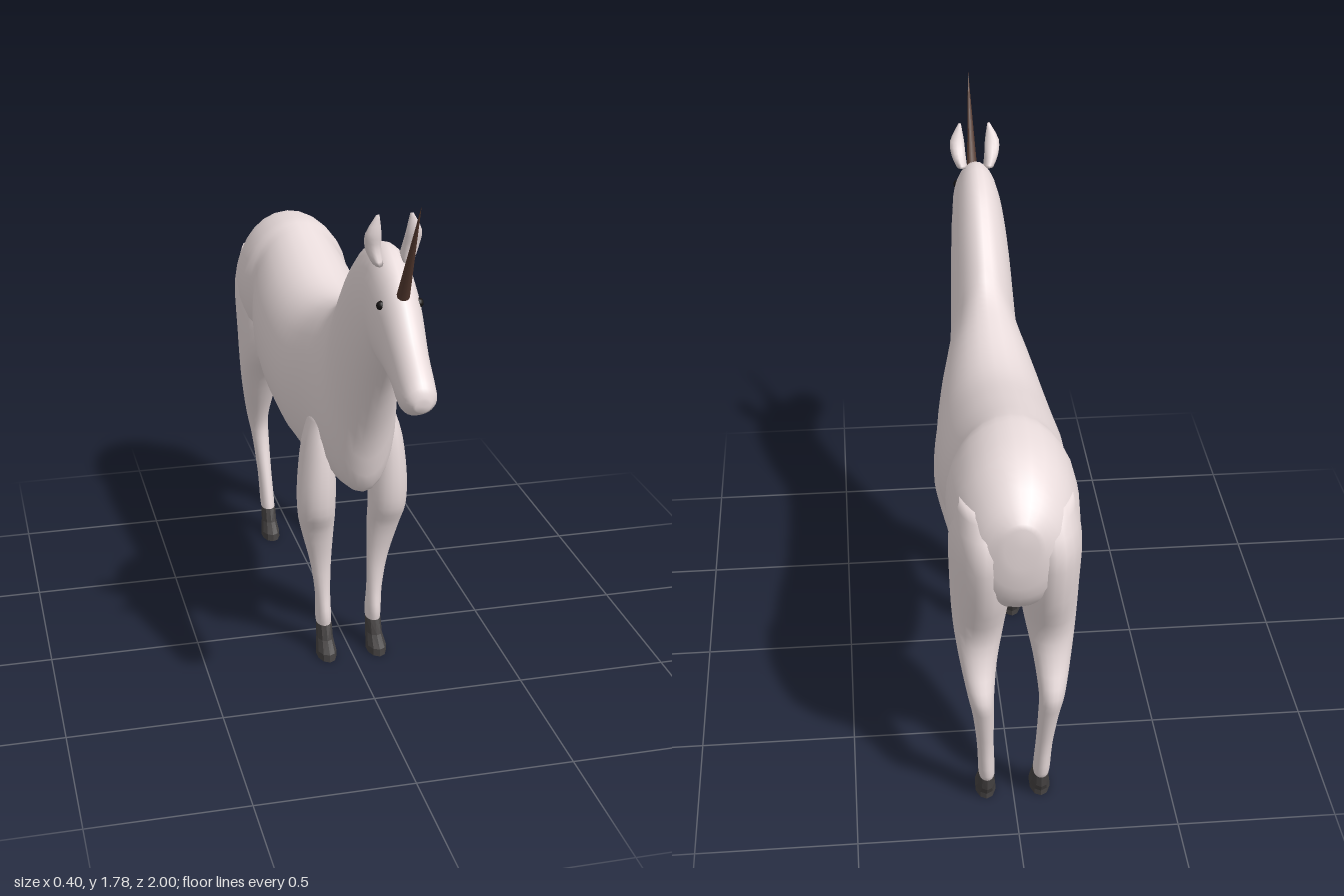
import * as THREE from 'three';

const coat = new THREE.MeshStandardMaterial({ color: 0xe9dcdc });
const hoofMat = new THREE.MeshStandardMaterial({ color: 0x454242, flatShading: true });
const hornMat = new THREE.MeshStandardMaterial({ color: 0x553a30 });
const eyeMat = new THREE.MeshStandardMaterial({ color: 0x151212 });

// Catmull-Rom blend of whole section rows
function refine(rows, steps) {
  const out = [];
  for (let i = 0; i < rows.length - 1; i++) {
    const a = rows[Math.max(i - 1, 0)], b = rows[i], c = rows[i + 1], d = rows[Math.min(i + 2, rows.length - 1)];
    for (let s = 0; s < steps; s++) {
      const t = s / steps;
      out.push(b.map((p, k) => {
        const linear = c[k] - a[k];
        const square = 2 * a[k] - 5 * p + 4 * c[k] - d[k];
        const cube = 3 * (p - c[k]) + d[k] - a[k];
        return p + 0.5 * t * (linear + t * (square + t * cube));
      }));
    }
  }
  out.push(rows[rows.length - 1]);
  return out;
}

// Skin over elliptical sections: [zA, yA, zB, yB, xCentre, halfWidth]
function loft(name, rows, material, { seg = 20, steps = 3, side = 1 } = {}) {
  const rings = refine(rows, steps), pos = [], idx = [];
  for (const [zA, yA, zB, yB, xc, w] of rings) {
    for (let j = 0; j < seg; j++) {
      const a = (j / seg) * Math.PI * 2, c = Math.cos(a) / 2;
      pos.push(side * (xc + w * Math.sin(a)), (yA + yB) / 2 + (yA - yB) * c, (zA + zB) / 2 + (zA - zB) * c);
    }
  }
  const n = rings.length;
  for (const r of [rings[0], rings[n - 1]]) pos.push(side * r[4], (r[1] + r[3]) / 2, (r[0] + r[2]) / 2);
  for (let j = 0; j < seg; j++) {
    const k = (j + 1) % seg;
    for (let i = 0; i < n - 1; i++) {
      const p = i * seg + j, q = i * seg + k;
      idx.push(p, q, q + seg, p, q + seg, p + seg);
    }
    idx.push(n * seg, k, j, n * seg + 1, (n - 1) * seg + j, (n - 1) * seg + k);
  }
  // Turn the faces outwards if the enclosed volume is negative
  const v = (i) => new THREE.Vector3().fromArray(pos, i * 3);
  const origin = v(n * seg);
  let volume = 0;
  for (let i = 0; i < idx.length; i += 3) {
    const [a, b, c] = [v(idx[i]).sub(origin), v(idx[i + 1]).sub(origin), v(idx[i + 2]).sub(origin)];
    volume += a.dot(b.cross(c));
  }
  if (volume < 0) idx.reverse();
  const geo = new THREE.BufferGeometry();
  geo.setAttribute('position', new THREE.Float32BufferAttribute(pos, 3));
  geo.setIndex(idx);
  geo.computeVertexNormals();
  const mesh = new THREE.Mesh(geo, material);
  mesh.name = name;
  return mesh;
}

// Rump, barrel and neck: top point, bottom point, half width
const bodyRows = [
  [-1.0, 1.14, -0.995, 1.0, 0.05], [-0.96, 1.19, -0.97, 0.88, 0.12],
  [-0.9, 1.245, -0.9, 0.8, 0.165], [-0.8, 1.29, -0.8, 0.78, 0.192],
  [-0.67, 1.3, -0.67, 0.79, 0.195], [-0.6, 1.29, -0.6, 0.8, 0.174],
  [-0.52, 1.27, -0.52, 0.71, 0.19], [-0.4, 1.24, -0.4, 0.665, 0.2],
  [-0.22, 1.2, -0.22, 0.635, 0.197], [-0.07, 1.2, -0.07, 0.62, 0.185],
  [0.08, 1.235, 0.1, 0.645, 0.16], [0.16, 1.265, 0.26, 0.65, 0.138],
  [0.22, 1.31, 0.36, 0.69, 0.118], [0.27, 1.37, 0.42, 0.87, 0.108],
  [0.36, 1.46, 0.52, 1.06, 0.1], [0.47, 1.54, 0.62, 1.19, 0.09],
  [0.6, 1.57, 0.65, 1.22, 0.08], [0.7, 1.53, 0.69, 1.215, 0.076],
];
const headRows = [
  [0.78, 1.475, 0.75, 1.21, 0.068], [0.88, 1.37, 0.83, 1.19, 0.058],
  [0.95, 1.31, 0.9, 1.16, 0.055], [0.99, 1.27, 0.96, 1.18, 0.046],
  [1.0, 1.235, 0.995, 1.2, 0.022],
];

// Limbs, hooves and ears: front point, back point, x centre, half width
const hindLegRows = [
  [-0.7, 1.15, -0.93, 1.15, 0.09, 0.075], [-0.61, 1.0, -0.992, 1.03, 0.1, 0.094],
  [-0.6, 0.83, -0.955, 0.84, 0.1, 0.093], [-0.7, 0.7, -0.89, 0.68, 0.108, 0.078],
  [-0.77, 0.58, -0.9, 0.57, 0.112, 0.058], [-0.83, 0.46, -0.94, 0.47, 0.108, 0.04],
  [-0.84, 0.38, -0.92, 0.38, 0.1, 0.032], [-0.81, 0.24, -0.885, 0.24, 0.092, 0.026],
  [-0.785, 0.13, -0.87, 0.12, 0.087, 0.026], [-0.78, 0.09, -0.85, 0.09, 0.086, 0.023],
];
const foreLegRows = [
  [0.24, 0.9, 0.12, 0.9, 0.11, 0.025], [0.26, 0.8, 0.11, 0.8, 0.116, 0.05],
  [0.265, 0.66, 0.11, 0.66, 0.12, 0.063], [0.25, 0.55, 0.112, 0.55, 0.12, 0.063],
  [0.21, 0.47, 0.115, 0.47, 0.112, 0.055], [0.175, 0.34, 0.117, 0.34, 0.098, 0.036],
  [0.17, 0.22, 0.107, 0.22, 0.09, 0.026], [0.18, 0.14, 0.085, 0.12, 0.087, 0.026],
  [0.17, 0.09, 0.107, 0.09, 0.086, 0.023],
];
const hoofRows = [
  [0.178, 0.105, 0.1, 0.105, 0.086, 0.026], [0.2, 0.06, 0.103, 0.05, 0.086, 0.027],
  [0.237, 0.025, 0.12, 0.02, 0.087, 0.033], [0.24, 0, 0.12, 0, 0.087, 0.033],
];
const earRows = [
  [0.69, 1.53, 0.6, 1.55, 0.045, 0.018], [0.68, 1.58, 0.62, 1.58, 0.056, 0.024],
  [0.688, 1.63, 0.65, 1.625, 0.06, 0.024], [0.685, 1.685, 0.675, 1.68, 0.05, 0.005],
];

export function createModel() {
  const model = new THREE.Group();
  model.name = 'hornedHorse';

  const body = [...bodyRows, ...headRows].map(([a, b, c, d, w]) => [a, b, c, d, 0, w]);
  model.add(loft('bodyNeckAndHead', body, coat, { seg: 28 }));

  // Horn from the forehead, leaning forwards
  const base = new THREE.Vector3(0, 1.455, 0.77), tip = new THREE.Vector3(0, 1.78, 0.95);
  const axis = tip.clone().sub(base);
  const horn = new THREE.Mesh(new THREE.ConeGeometry(0.02, axis.length(), 10), hornMat);
  horn.name = 'horn';
  horn.position.copy(base).lerp(tip, 0.5);
  horn.quaternion.setFromUnitVectors(new THREE.Vector3(0, 1, 0), axis.normalize());
  model.add(horn);

  // Paired parts
  for (const side of [1, -1]) {
    const tag = side > 0 ? 'left' : 'right';
    model.add(loft(tag + 'HindLeg', hindLegRows, coat, { side }));
    model.add(loft(tag + 'ForeLeg', foreLegRows, coat, { side, seg: 16 }));
    model.add(loft(tag + 'Ear', earRows, coat, { side, seg: 12 }));
    for (const [part, dz] of [['ForeHoof', 0], ['HindHoof', -0.953]]) {
      const hoof = loft(tag + part, hoofRows, hoofMat, { side, seg: 10, steps: 1 });
      hoof.position.z = dz;
      model.add(hoof);
    }
    const eye = new THREE.Mesh(new THREE.SphereGeometry(0.014, 12, 8), eyeMat);
    eye.name = tag + 'Eye';
    eye.position.set(side * 0.056, 1.435, 0.745);
    model.add(eye);
  }
  return model;
}
